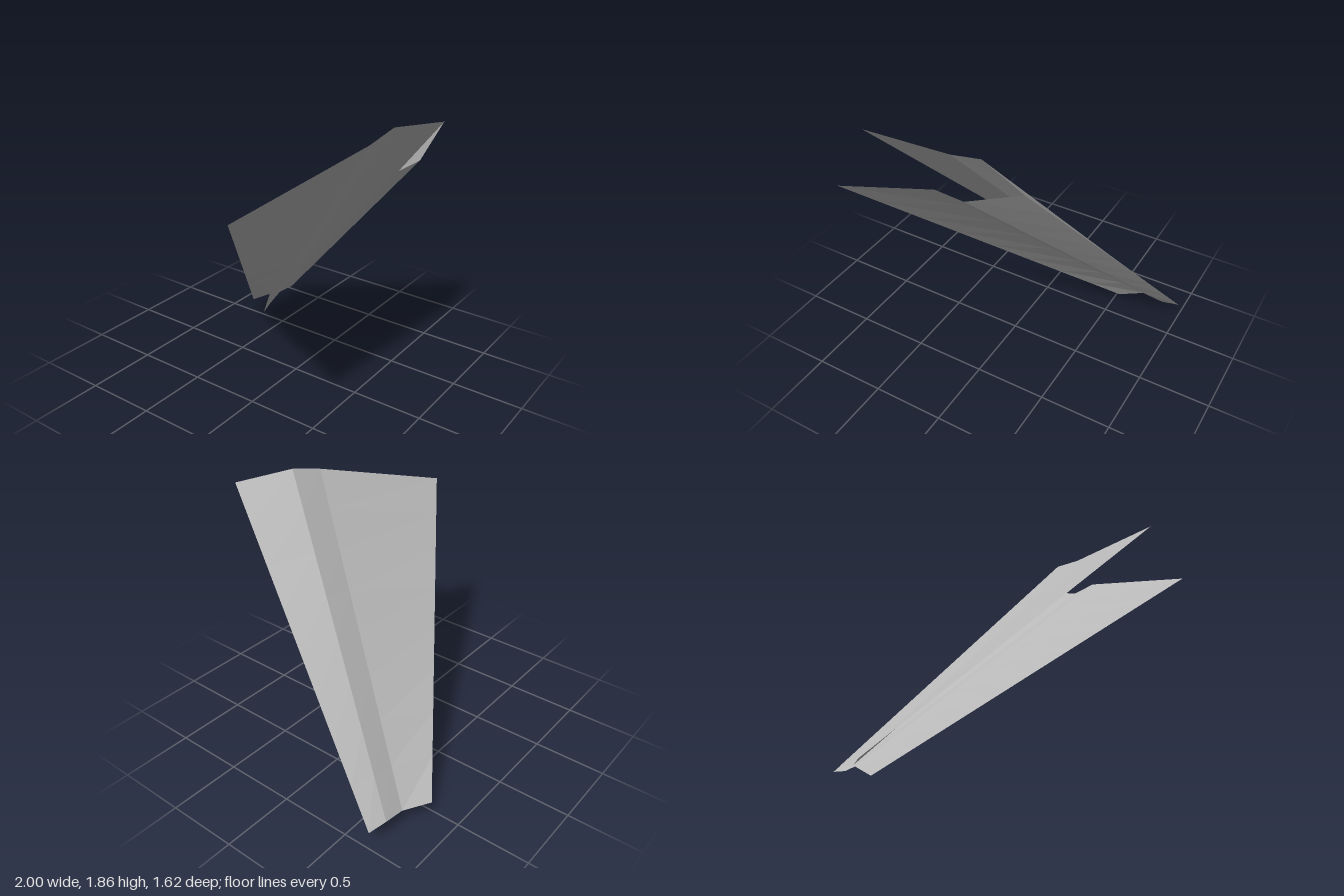
import * as THREE from 'three';

// Edge points of each sheet, from the free side to the shared fold: [x, y, z]
const foldTop = [0.51, 1.84, 0.77];
const foldBottom = [1, 0.13, -0.69];

const upper = {
  top: [[-1, 1.53, 0.28], [-0.08, 1.8, 0.59], [0.15, 1.86, 0.62], foldTop],
  bottom: [[0.52, 0.09, -0.81], [0.71, 0.11, -0.72], [0.87, 0.14, -0.72], foldBottom],
};
const lower = {
  top: [[-1, 1.26, 0.58], [-0.08, 1.66, 0.757], [0.15, 1.69, 0.805], foldTop],
  bottom: [[0.52, 0, -0.71], [0.71, 0.1, -0.71], [0.87, 0.11, -0.68], foldBottom],
};

// Ruled panels between the wide end and the narrow end, creased at each point
function sheetGeometry({ top, bottom }, flip) {
  const rows = 8;
  const positions = [];
  const at = (i, t) => new THREE.Vector3(...top[i]).lerp(new THREE.Vector3(...bottom[i]), t);
  for (let i = 0; i < top.length - 1; i++) {
    for (let r = 0; r < rows; r++) {
      const a = at(i, r / rows), b = at(i + 1, r / rows);
      const c = at(i + 1, (r + 1) / rows), d = at(i, (r + 1) / rows);
      const corners = flip ? [a, d, c, a, c, b] : [a, c, d, a, b, c];
      corners.forEach((p) => positions.push(p.x, p.y, p.z));
    }
  }
  const geometry = new THREE.BufferGeometry();
  geometry.setAttribute('position', new THREE.Float32BufferAttribute(positions, 3));
  geometry.computeVertexNormals();
  return geometry;
}

export function createModel() {
  const group = new THREE.Group();
  group.name = 'foldedSheet';
  const grey = new THREE.MeshStandardMaterial({ color: 0xb8b8b8, side: THREE.DoubleSide, flatShading: true });
  grey.name = 'paleGrey';

  const add = (name, outline, flip) => {
    const mesh = new THREE.Mesh(sheetGeometry(outline, flip), grey);
    mesh.name = name;
    group.add(mesh);
  };
  add('upperSheet', upper, false);
  add('lowerSheet', lower, true);
  return group;
}
